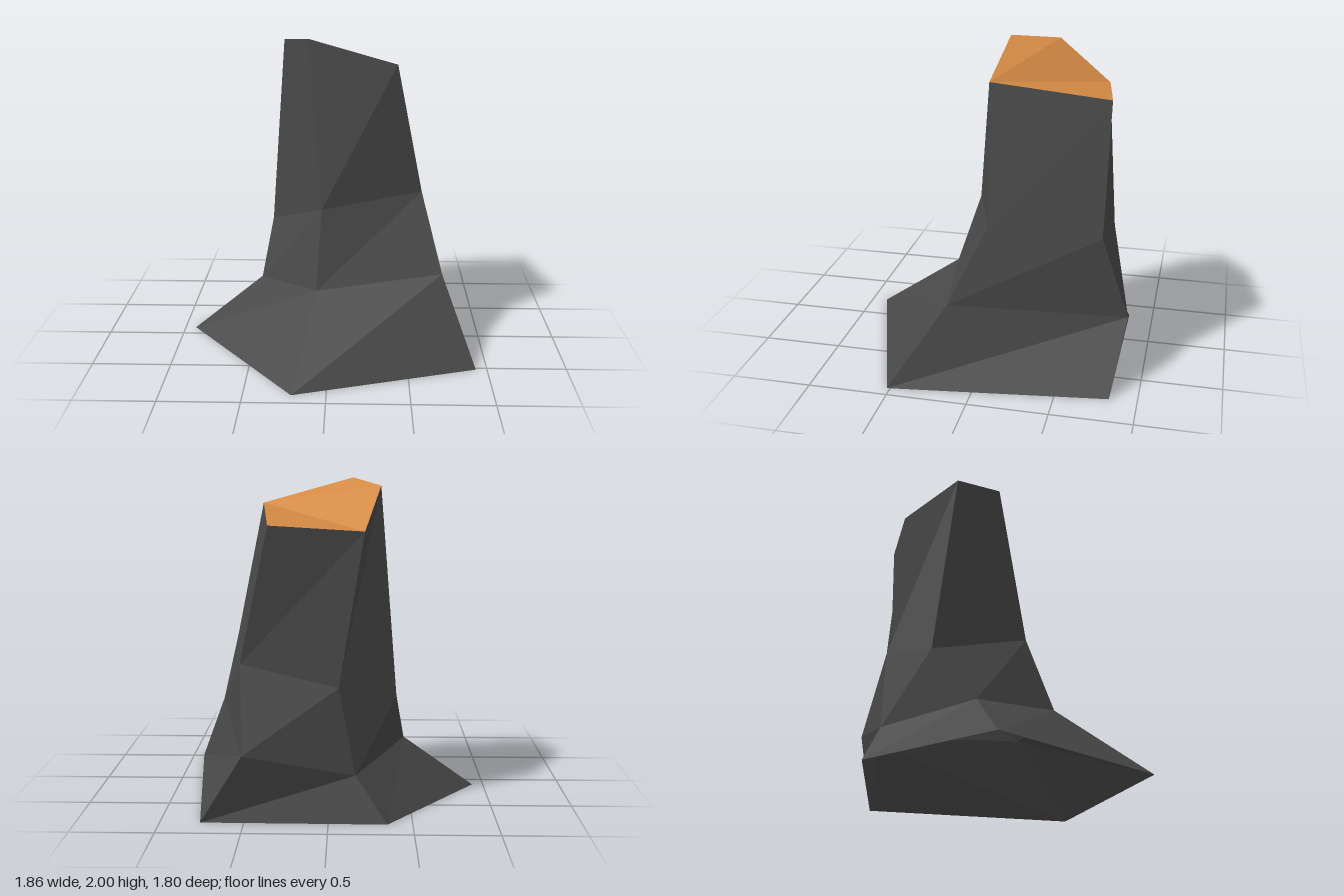
import * as THREE from 'three';

// Five-sided rings from the ground up, each corner [x, y, z], counter-clockwise from above
const RINGS = [
  [[-0.21, 0, 0.9], [0.93, 0, 0.52], [0.76, 0, -0.83], [-0.35, 0, -0.84], [-0.93, 0, -0.1]],
  [[-0.08, 0.44, 0.32], [0.73, 0.51, 0.18], [0.5, 0.43, -0.9], [-0.16, 0.27, -0.75], [-0.47, 0.35, -0.19]],
  [[-0.05, 0.93, 0.15], [0.6, 1.0, -0.05], [0.52, 0.94, -0.73], [-0.06, 0.8, -0.74], [-0.41, 0.69, -0.46]],
  [[-0.14, 2.0, -0.03], [0.43, 1.84, -0.02], [0.35, 1.75, -0.74], [-0.21, 1.71, -0.66], [-0.31, 1.96, -0.32]],
];

function facetedMesh(name, corners, material) {
  const geometry = new THREE.BufferGeometry();
  geometry.setAttribute('position', new THREE.Float32BufferAttribute(corners.flat(), 3));
  geometry.computeVertexNormals(); // unshared corners give flat facets
  const mesh = new THREE.Mesh(geometry, material);
  mesh.name = name;
  return mesh;
}

export function createModel() {
  const bark = new THREE.MeshStandardMaterial({ color: 0x484848, side: THREE.DoubleSide });
  bark.name = 'dark bark';
  const wood = new THREE.MeshStandardMaterial({ color: 0xd48a45, side: THREE.DoubleSide });
  wood.name = 'cut wood';

  // Bark: walls between neighbouring rings, open underneath
  const walls = [];
  for (let r = 0; r < RINGS.length - 1; r++) {
    const low = RINGS[r], high = RINGS[r + 1];
    for (let i = 0; i < low.length; i++) {
      const j = (i + 1) % low.length;
      walls.push(low[i], low[j], high[j], low[i], high[j], high[i]);
    }
  }

  // Slanted cut: a fan from the front left corner
  const top = RINGS[RINGS.length - 1];
  const cut = [];
  for (let k = 2; k < 5; k++) cut.push(top[1], top[k], top[(k + 1) % 5]);

  const stump = new THREE.Group();
  stump.name = 'treeStump';
  stump.add(facetedMesh('barkWalls', walls, bark), facetedMesh('cutTop', cut, wood));
  return stump;
}
